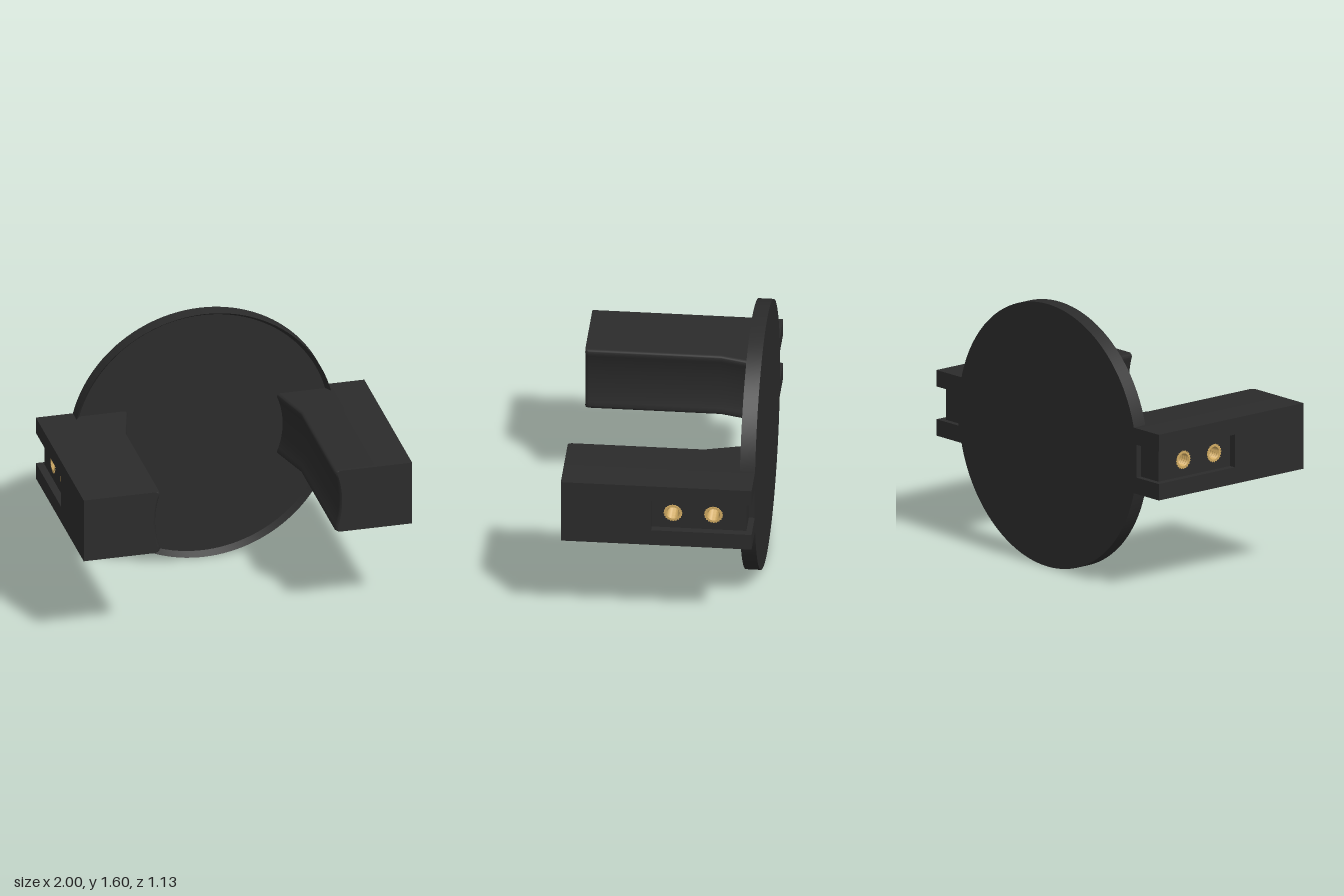
import * as THREE from 'three';
import { toCreasedNormals } from 'three/addons/utils/BufferGeometryUtils.js';

const dark = new THREE.MeshStandardMaterial({ color: 0x2b2b2b });
const brass = new THREE.MeshStandardMaterial({ color: 0xd0aa62 });
const BACK = -0.565, FRONT = 0.565, HALF = 0.2, SPLIT = 0.8, FLOOR = 0.955;

function add(parent, name, geometry, material = dark) {
  const mesh = new THREE.Mesh(geometry, material);
  mesh.name = name;
  parent.add(mesh);
  return mesh;
}

const polygon = (points) => new THREE.Shape(points.map(([x, y]) => new THREE.Vector2(x, y)));

// Extrudes a side outline, drawn as (-z, y), along x from x0 to x1
function sideSlab(shape, x0, x1) {
  const g = new THREE.ExtrudeGeometry(shape, { depth: x1 - x0, bevelEnabled: false, curveSegments: 24 });
  return g.rotateY(Math.PI / 2).translate(x0, 0, 0);
}

// Cross-section of the arm's inner part: hollowed to radius r, with rounded corners
function gripSection(r) {
  const f = 0.02, top = [[SPLIT, HALF]];
  const curve = (y) => Math.sqrt(r * r - y * y);
  for (let i = 0; i <= 4; i++) {
    const a = (i / 4) * Math.PI / 2;
    const y = HALF - f + f * Math.cos(a);
    top.push([curve(HALF - f) + f * (1 - Math.sin(a)), y]);
  }
  for (let i = 1; i <= 8; i++) {
    const y = (HALF - f) * (1 - i / 8);
    top.push([curve(y), y]);
  }
  return top.concat(top.slice(0, -1).reverse().map(([x, y]) => [x, -y]));
}

// Lofts the sections from front to back
function gripGeometry() {
  const stations = [[FRONT, 0.574], [0.559, 0.566], [0.545, 0.56], [-0.24, 0.56], [-0.515, 0.49], [BACK, 0.49]];
  const pos = [], index = [];
  const n = gripSection(0.56).length;
  stations.forEach(([z, r]) => gripSection(r).forEach(([x, y]) => pos.push(x, y, z)));
  for (let s = 0; s < stations.length - 1; s++) {
    for (let i = 0; i < n; i++) {
      const a = s * n + i, b = s * n + (i + 1) % n;
      index.push(a, a + n, b, b, a + n, b + n);
    }
  }
  // End caps
  const c = pos.length / 3, last = (stations.length - 1) * n;
  pos.push(0.72, 0, FRONT, 0.72, 0, BACK);
  for (let i = 0; i < n; i++) {
    const j = (i + 1) % n;
    index.push(c, i, j, c + 1, last + j, last + i);
  }
  const g = new THREE.BufferGeometry();
  g.setAttribute('position', new THREE.Float32BufferAttribute(pos, 3));
  g.setIndex(index);
  return toCreasedNormals(g, 0.6);
}

// Knurled sleeve with a ridged bore, its mouth at x = 0
function buildInsert() {
  const group = new THREE.Group();
  group.name = 'threadedInsert';
  const length = 0.13, teeth = 20, outline = [];
  for (let i = 0; i < teeth * 4; i++) {
    const a = (i / (teeth * 4)) * Math.PI * 2;
    const r = i % 4 < 2 ? 0.056 : 0.051;
    outline.push([r * Math.cos(a), r * Math.sin(a)]);
  }
  const ring = polygon(outline);
  ring.holes.push(new THREE.Path().absarc(0, 0, 0.039, 0, Math.PI * 2, true));
  add(group, 'knurledSleeve', sideSlab(ring, -length, 0.002), brass);

  const profile = [];
  for (let i = 0; i <= 14; i++) profile.push(new THREE.Vector2(i % 2 ? 0.033 : 0.039, -i * length / 14));
  const bore = new THREE.LatheGeometry(profile, 32).rotateZ(-Math.PI / 2);
  add(group, 'threadedBore', toCreasedNormals(bore, 0.5), brass);
  return group;
}

function buildArm() {
  const arm = new THREE.Group();
  arm.name = 'arm';
  add(arm, 'hollowedGrip', gripGeometry());

  // Middle layer: notched at the back, drilled for the inserts
  const f = -FRONT, b = -BACK, s = 0.1, notch = 0.53;
  const middle = polygon([[f, -HALF], [b, -HALF], [b, -s], [notch, -s], [notch, s], [b, s], [b, HALF], [f, HALF]]);
  const spots = [0.095, 0.335];
  spots.forEach((u) => middle.holes.push(new THREE.Path().absarc(u, 0, 0.0535, 0, Math.PI * 2, true)));
  add(arm, 'drilledBody', sideSlab(middle, SPLIT, FLOOR));

  // Outer layer: slot open toward the back
  const slot = -0.03;
  const outer = polygon([[f, -HALF], [b, -HALF], [b, -s], [slot, -s], [slot, s], [b, s], [b, HALF], [f, HALF]]);
  add(arm, 'slottedSide', sideSlab(outer, FLOOR, 1));

  spots.forEach((u) => {
    const insert = buildInsert();
    insert.position.set(FLOOR, 0, -u);
    arm.add(insert);
  });
  return arm;
}

export function createModel() {
  const model = new THREE.Group();
  model.name = 'discWithArms';

  // Shallow dish with a sloped lip on its front
  const profile = [[0, BACK], [0.8, BACK], [0.8, -0.475], [0.775, -0.515], [0, -0.515]]
    .map(([r, z]) => new THREE.Vector2(r, z));
  const disc = toCreasedNormals(new THREE.LatheGeometry(profile, 128).rotateX(Math.PI / 2), 0.5);
  add(model, 'disc', disc).position.y = 0.8;

  // The arm is symmetric top to bottom, so a half turn gives the other side
  [['leftArm', 0], ['rightArm', Math.PI]].forEach(([name, turn]) => {
    const arm = buildArm();
    arm.name = name;
    arm.position.y = 0.8;
    arm.rotation.z = turn;
    model.add(arm);
  });
  return model;
}
